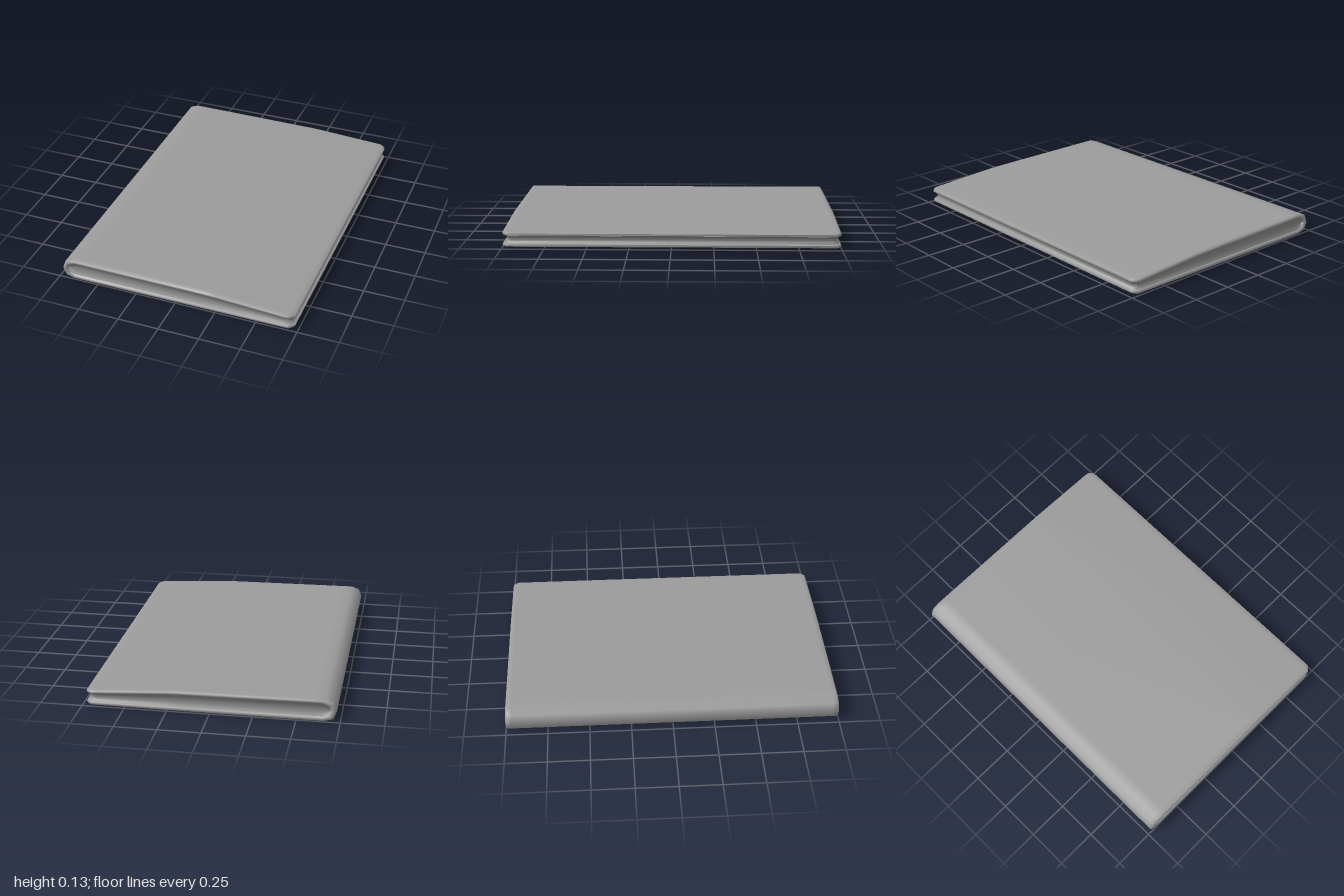
import * as THREE from 'three';
import { toCreasedNormals } from 'three/addons/utils/BufferGeometryUtils.js';

// Joins a row of equal rings; each ring runs down its +z half, then back up its mirrored half.
function loft(rings, crease) {
  const n = rings[0].length;
  const index = [];
  const quad = (a, b, c, d) => index.push(a, b, c, a, c, d);
  for (let i = 0; i < rings.length - 1; i++) {
    for (let j = 0; j < n; j++) {
      const k = (j + 1) % n;
      quad(i * n + j, i * n + k, (i + 1) * n + k, (i + 1) * n + j);
    }
  }
  const last = (rings.length - 1) * n;
  for (let j = 0; j < n / 2 - 1; j++) {
    const m = n - 1 - j;
    quad(last + j, last + j + 1, last + m - 1, last + m);
    quad(m, m - 1, j + 1, j);
  }
  const geometry = new THREE.BufferGeometry();
  geometry.setAttribute('position', new THREE.Float32BufferAttribute(rings.flat(2), 3));
  geometry.setIndex(index);
  return toCreasedNormals(geometry, crease);
}

const mirrored = (half) => [...half, ...half.map(([x, y, z]) => [x, y, -z]).reverse()];

// Cover stations from the lower free edge, round the spine, to the upper free edge:
// outer x, outer y, inner x, inner y, half length in z
const coverPath = [
  [0.727, 0.014, 0.727, 0.025, 0.97],
  [0.715, 0.008, 0.715, 0.03, 0.983],
  [0.695, 0.007, 0.695, 0.031, 0.999],
  [0.66, 0.007, 0.66, 0.031, 1],
  [0.2, 0.004, 0.2, 0.031, 1],
  [-0.6, 0.001, -0.6, 0.03, 1],
  [-0.66, 0.002, -0.645, 0.03, 1],
  [-0.71, 0.017, -0.682, 0.041, 1],
  [-0.729, 0.065, -0.698, 0.066, 1],
  [-0.71, 0.115, -0.682, 0.092, 1],
  [-0.66, 0.132, -0.645, 0.108, 1],
  [-0.6, 0.132, -0.6, 0.108, 1],
  [0.19, 0.126, 0.19, 0.102, 1],
  [0.25, 0.124, 0.25, 0.1, 1],
  [0.66, 0.1, 0.66, 0.077, 1],
  [0.695, 0.098, 0.695, 0.075, 0.999],
  [0.715, 0.096, 0.715, 0.074, 0.983],
  [0.727, 0.09, 0.727, 0.079, 0.97],
];

// Rounded edge of the cover: distance in from the end, depth through the thickness
const edge = [[0.035, 0], [0.01, 0], [0.002, 0.2], [0, 0.5], [0.002, 0.8], [0.01, 1], [0.035, 1]];

function coverGeometry() {
  const rings = coverPath.map(([ox, oy, ix, iy, z]) =>
    mirrored(edge.map(([inset, t]) => [ox + (ix - ox) * t, oy + (iy - oy) * t, z - inset])));
  return loft(rings, 0.9);
}

// Page block stations: x, bottom y, top y, half length, share of the hollow applied to x
const pagePath = [
  [-0.698, 0.06, 0.072, 0.99, 0],
  [-0.682, 0.041, 0.092, 0.99, 0],
  [-0.645, 0.03, 0.108, 0.99, 0],
  [-0.6, 0.03, 0.108, 0.99, 0],
  [0.19, 0.031, 0.102, 0.99, 0],
  [0.25, 0.031, 0.1, 0.99, 0],
  [0.66, 0.031, 0.077, 0.99, 0],
  [0.697, 0.031, 0.076, 0.985, 0.5],
  [0.72, 0.03, 0.075, 0.965, 1],
];

function pageGeometry() {
  const layers = 8;
  const rings = pagePath.map(([x, low, high, z, share]) => {
    const half = [];
    for (let j = 0; j <= layers; j++) {
      const t = j / layers;
      const hollow = 0.013 * 4 * t * (1 - t);
      half.push([x - hollow * share, high + (low - high) * t, z - hollow]);
    }
    return mirrored(half);
  });
  return loft(rings, 0.6);
}

export function createModel() {
  const group = new THREE.Group();
  group.name = 'book';
  const add = (name, geometry, color) => {
    const mesh = new THREE.Mesh(geometry, new THREE.MeshStandardMaterial({ color }));
    mesh.name = name;
    group.add(mesh);
  };
  add('cover', coverGeometry(), 0x9b9b9b);
  add('pages', pageGeometry(), 0x8c8c8c);
  return group;
}
